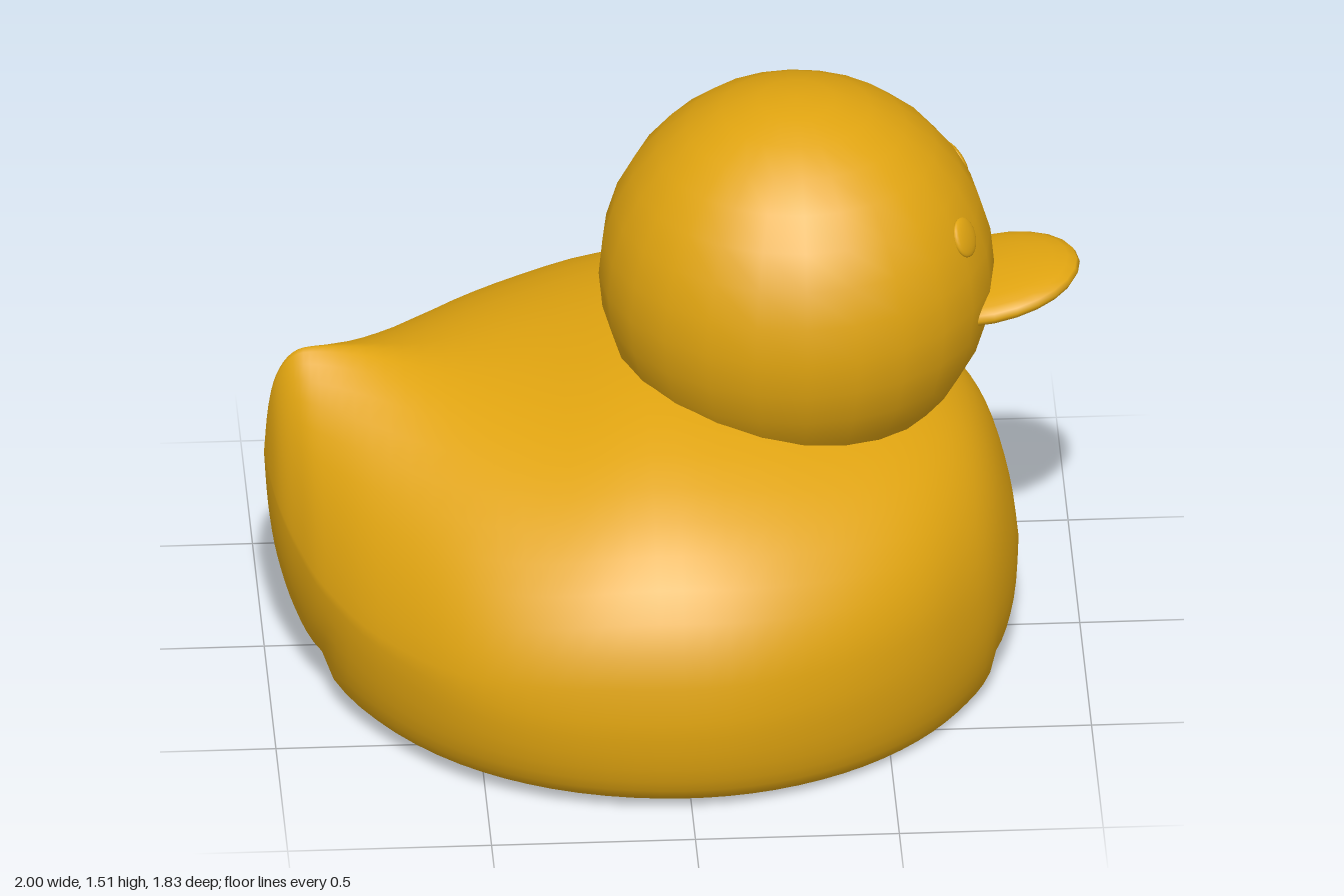
import * as THREE from 'three';

const material = new THREE.MeshStandardMaterial({ color: 0xe0a410 });

// Body stations from tail to breast: x, top, height of widest point, bottom, half width
const STATIONS = [
  [-1, 0.56, 0.55, 0.54, 0],
  [-0.99, 0.68, 0.51, 0.4, 0.06],
  [-0.97, 0.77, 0.46, 0.27, 0.14],
  [-0.93, 0.83, 0.4, 0.14, 0.24],
  [-0.87, 0.845, 0.35, 0.05, 0.37],
  [-0.75, 0.838, 0.31, 0.042, 0.56],
  [-0.56, 0.81, 0.29, 0.036, 0.76],
  [-0.34, 0.815, 0.28, 0.03, 0.87],
  [-0.08, 0.865, 0.28, 0.024, 0.915],
  [0.15, 0.84, 0.28, 0.018, 0.895],
  [0.38, 0.79, 0.28, 0.012, 0.8],
  [0.57, 0.735, 0.28, 0.007, 0.66],
  [0.7, 0.665, 0.27, 0.002, 0.505],
  [0.78, 0.56, 0.26, 0, 0.36],
  [0.83, 0.4, 0.25, 0.1, 0.18],
  [0.85, 0.25, 0.25, 0.25, 0],
];

// Catmull-Rom blend of all station columns
function station(u) {
  const last = STATIONS.length - 1;
  const i = Math.min(Math.floor(u), last - 1);
  const t = u - i;
  const at = (k) => STATIONS[THREE.MathUtils.clamp(k, 0, last)];
  const [a, b, c, d] = [at(i - 1), at(i), at(i + 1), at(i + 2)];
  return b.map((p, k) => {
    const m0 = (c[k] - a[k]) / 2;
    const m1 = (d[k] - p) / 2;
    const e = c[k] - p;
    return p + t * (m0 + t * (3 * e - 2 * m0 - m1 + t * (m0 + m1 - 2 * e)));
  });
}

// One closed cross-section: domed top pinched toward the tail, rounded side, flat base
function section([x, top, mid, bottom, width]) {
  const n = THREE.MathUtils.lerp(1.25, 2.2, THREE.MathUtils.smoothstep(x, -0.95, -0.2));
  const baseWidth = Math.min(width, 0.83 * Math.sqrt(Math.max(0, 1 - ((x + 0.045) / 0.825) ** 2)));
  const half = [];
  for (let j = 0; j <= 12; j++) {
    const t = (j / 12) * Math.PI / 2;
    const c = Math.max(0, Math.cos(t));
    half.push([mid + (top - mid) * c ** (2 / n), Math.max(0, width) * Math.sin(t) ** (2 / n)]);
  }
  for (let j = 1; j <= 8; j++) {
    const t = (j / 8) * Math.PI / 2;
    half.push([mid - (mid - bottom) * Math.sin(t), baseWidth + (width - baseWidth) * Math.cos(t)]);
  }
  for (const f of [0.9, 0.5, 0]) half.push([bottom, baseWidth * f]);
  const mirrored = half.slice(1, -1).reverse().map(([y, z]) => [y, -z]);
  return [...half, ...mirrored].map(([y, z]) => [x, Math.max(0, y), z]);
}

function bodyGeometry() {
  const perStation = 4;
  const rows = (STATIONS.length - 1) * perStation;
  const positions = [];
  const index = [];
  let ring = 0;
  for (let i = 0; i <= rows; i++) {
    const points = section(station(i / perStation));
    ring = points.length;
    positions.push(...points.flat());
  }
  for (let i = 0; i < rows; i++) {
    for (let j = 0; j < ring; j++) {
      const a = i * ring + j;
      const c = i * ring + ((j + 1) % ring);
      index.push(a, c, a + ring, c, c + ring, a + ring);
    }
  }
  const geometry = new THREE.BufferGeometry();
  geometry.setAttribute('position', new THREE.Float32BufferAttribute(positions, 3));
  geometry.setIndex(index);
  geometry.computeVertexNormals();
  return geometry;
}

// Flat rounded bill that tilts up toward its tip
function beakGeometry() {
  const geometry = new THREE.SphereGeometry(1, 24, 12);
  geometry.scale(0.22, 0.05, 0.2);
  const p = geometry.attributes.position;
  for (let i = 0; i < p.count; i++) p.setY(i, p.getY(i) + 0.2 * p.getX(i));
  geometry.computeVertexNormals();
  return geometry;
}

export function createModel() {
  const group = new THREE.Group();
  const add = (name, geometry, x = 0, y = 0, z = 0) => {
    const mesh = new THREE.Mesh(geometry, material);
    mesh.name = name;
    mesh.position.set(x, y, z);
    group.add(mesh);
    return mesh;
  };

  add('body', bodyGeometry());

  const headCentre = new THREE.Vector3(0.305, 1.03, 0);
  add('head', new THREE.SphereGeometry(0.485, 24, 16), ...headCentre.toArray());
  add('beak', beakGeometry(), 0.78, 0.98, 0);

  // Thin button eyes lying on the head surface
  for (const side of [1, -1]) {
    const outward = new THREE.Vector3(0.405, 0.185, 0.195 * side).normalize();
    const spot = headCentre.clone().addScaledVector(outward, 0.482);
    const eye = add(side > 0 ? 'rightEye' : 'leftEye', new THREE.SphereGeometry(0.05, 20, 12), ...spot.toArray());
    eye.quaternion.setFromUnitVectors(new THREE.Vector3(0, 0, 1), outward);
    eye.scale.z = 0.28;
  }
  return group;
}
